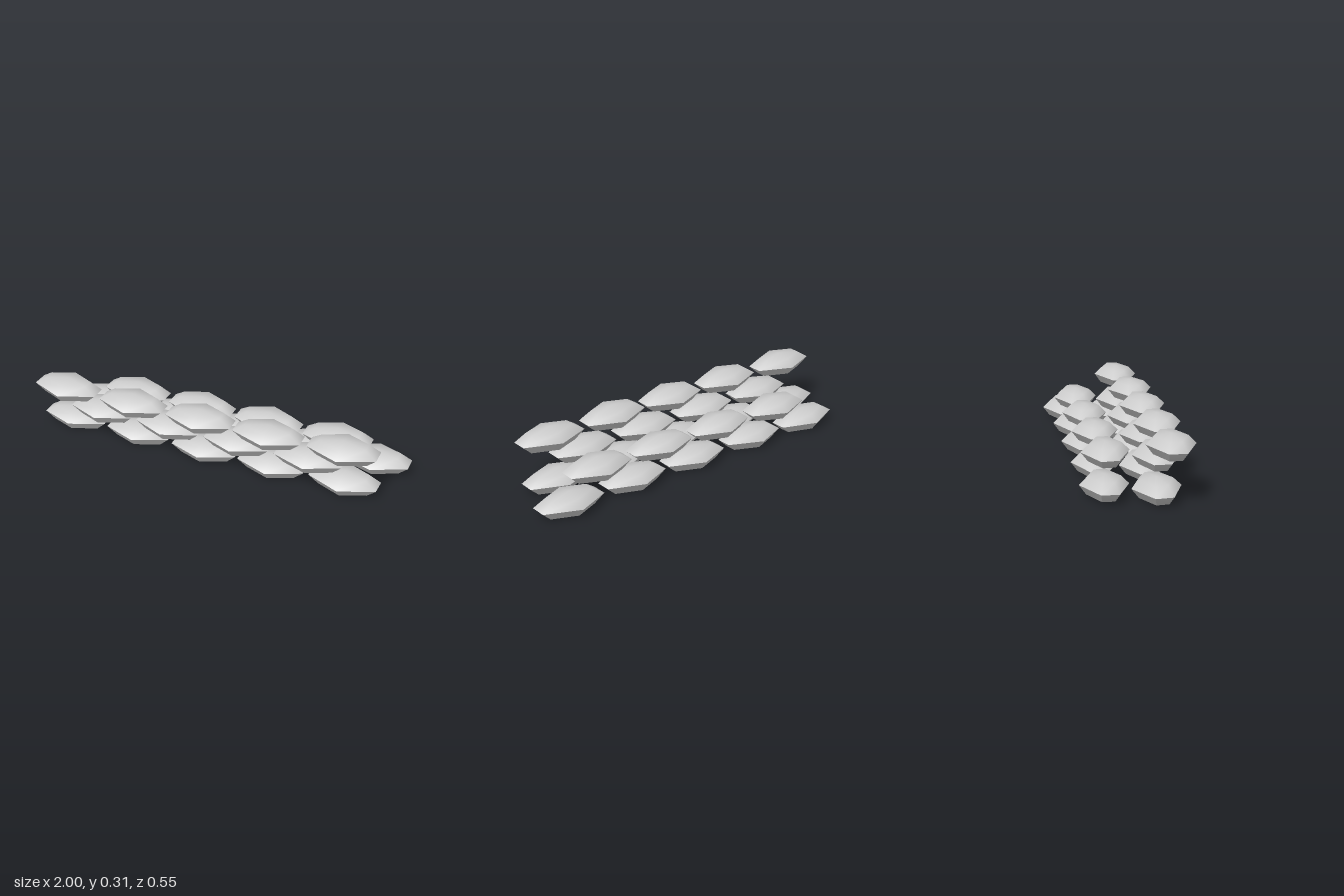
import * as THREE from 'three';
import { toCreasedNormals } from 'three/addons/utils/BufferGeometryUtils.js';

// Hexagonal outline of a bag: blunt ends on x, points on z
const OUTLINE = [[1, 0.36], [0, 1], [-1, 0.36], [-1, -0.36], [0, -1], [1, -0.36]];

// Bag cross-sections from bottom to top: height, half length, half width
const RINGS = [
  [-0.047, 0.13, 0.085],
  [0, 0.18, 0.12],
  [0.04, 0.12, 0.08],
];

function bagGeometry() {
  const points = [];
  for (const [y, hx, hz] of RINGS) {
    for (const [x, z] of OUTLINE) points.push(x * hx, y, z * hz);
  }
  const n = OUTLINE.length;
  const bottom = n * RINGS.length, top = bottom + 1;
  points.push(0, -0.05, 0, 0, 0.052, 0);
  const faces = [];
  for (let i = 0; i < n; i++) {
    const j = (i + 1) % n;
    for (let r = 0; r < RINGS.length - 1; r++) {
      const a = r * n + i, b = r * n + j;
      faces.push(a, a + n, b, b, a + n, b + n);
    }
    const last = (RINGS.length - 1) * n;
    faces.push(bottom, i, j, top, last + j, last + i);
  }
  const g = new THREE.BufferGeometry();
  g.setAttribute('position', new THREE.Float32BufferAttribute(points, 3));
  g.setIndex(faces);
  return toCreasedNormals(g, 0.8);
}

// Each row: height of the seam, then [x, z] of every bag
const ROWS = {
  bottomFrontRow: [0.053, [[-0.81, 0.08], [-0.425, 0.085], [-0.035, 0.095], [0.34, 0.09], [0.73, 0.085]]],
  bottomBackRow: [0.053, [[-0.73, -0.155], [-0.35, -0.145], [0.045, -0.145], [0.43, -0.145], [0.82, -0.16]]],
  middleFrontRow: [0.158, [[-0.62, 0.115], [-0.23, 0.12], [0.16, 0.12], [0.55, 0.115]]],
  middleBackRow: [0.16, [[-0.54, -0.12], [-0.15, -0.115], [0.235, -0.115], [0.62, -0.115]]],
  topFrontRow: [0.262, [[-0.82, 0.145], [-0.425, 0.155], [-0.04, 0.152], [0.337, 0.152], [0.73, 0.135]]],
};

export function createModel() {
  const model = new THREE.Group();
  model.name = 'sandbagWall';
  const cloth = new THREE.MeshStandardMaterial({ color: 0xcccccc });
  cloth.name = 'paleGreyCloth';
  const geometry = bagGeometry();

  // Slight repeatable unevenness in how each bag lies
  let seed = 7;
  const wobble = (amount) => {
    seed = (seed * 16807) % 2147483647;
    return (seed / 2147483647 - 0.5) * 2 * amount;
  };

  for (const [name, [y, spots]] of Object.entries(ROWS)) {
    const row = new THREE.Group();
    row.name = name;
    for (const [x, z] of spots) {
      const bag = new THREE.Mesh(geometry, cloth);
      bag.name = 'sandbag';
      bag.position.set(x, y, z);
      bag.rotation.set(wobble(0.03), wobble(0.03), wobble(0.02));
      row.add(bag);
    }
    model.add(row);
  }
  return model;
}
